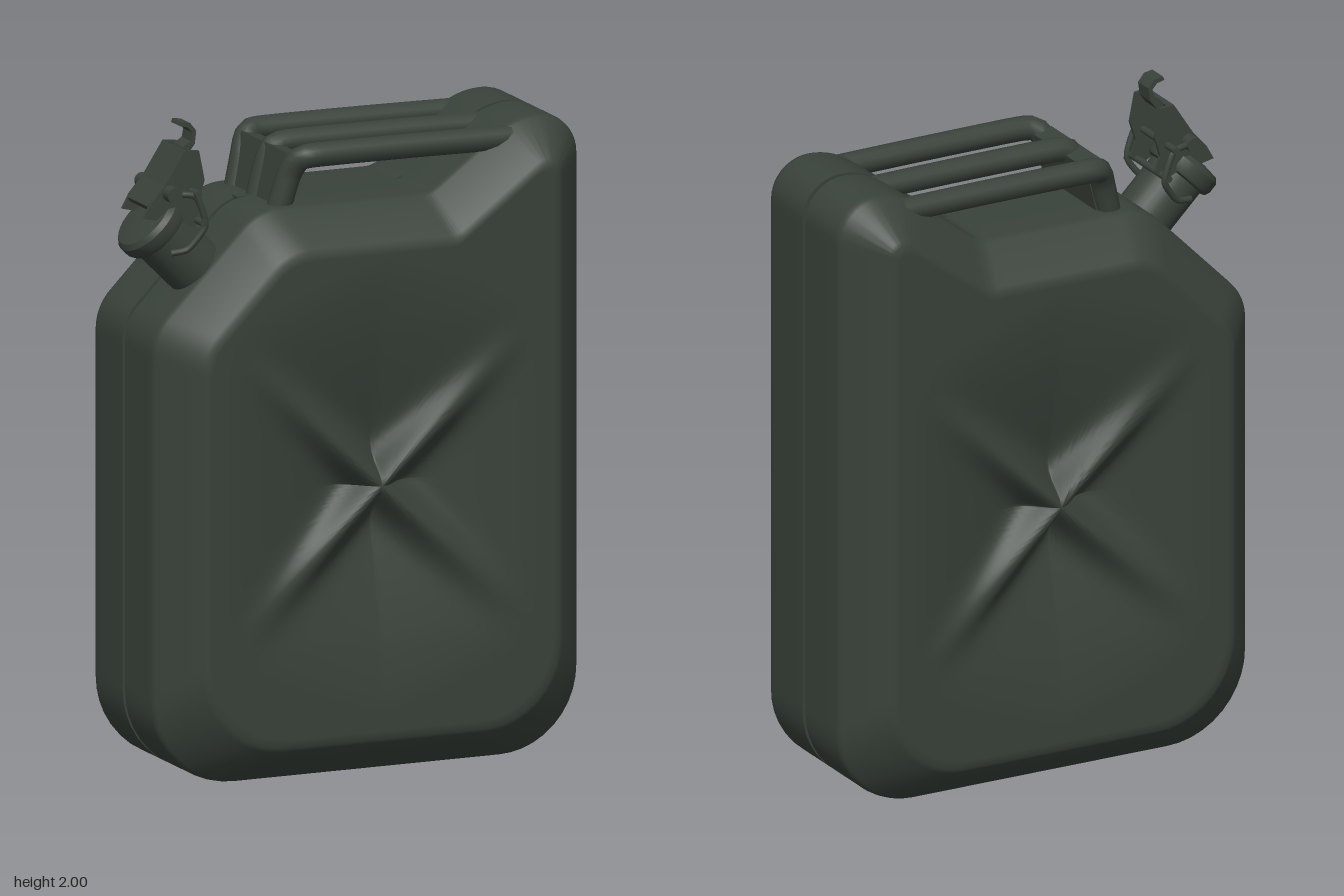
import * as THREE from 'three';
import { toCreasedNormals } from 'three/addons/utils/BufferGeometryUtils.js';

const paint = new THREE.MeshStandardMaterial({ color: 0x39423a });
paint.name = 'dark olive paint';

function add(parent, name, geometry, x = 0, y = 0, z = 0) {
  const mesh = new THREE.Mesh(geometry, paint);
  mesh.name = name;
  mesh.position.set(x, y, z);
  parent.add(mesh);
  return mesh;
}

// Body outline: corner x, y and rounding radius, anticlockwise
const corners = [
  [-0.66, 0, 0.26], [0.718, 0, 0.25], [0.718, 1.93, 0.125], [0.515, 1.93, 0.23],
  [0.24, 1.725, 0.08], [-0.32, 1.725, 0.17], [-0.66, 1.38, 0.16],
];
const base = corners.map(([x, y]) => new THREE.Vector2(x, y));
const n = base.length;
const at = (list, i) => list[(i + n) % n];

// Rounded outline shrunk by an inset, always with the same number of points
function outline(inset) {
  const normal = base.map((p, i) => {
    const d = at(base, i + 1).clone().sub(p).normalize();
    return new THREE.Vector2(-d.y, d.x);
  });
  const poly = base.map((p, i) => {
    const a = at(normal, i - 1), b = normal[i];
    return p.clone().addScaledVector(a.clone().add(b), inset / (1 + a.dot(b)));
  });
  const arcs = poly.map((p, i) => {
    const toPrev = at(poly, i - 1).clone().sub(p), toNext = at(poly, i + 1).clone().sub(p);
    const half = Math.acos(at(normal, i - 1).dot(normal[i])) / 2;
    const shortest = Math.min(toPrev.length(), toNext.length());
    const t = Math.min(corners[i][2] * Math.tan(half), (half > 0.7 ? 0.61 : 0.38) * shortest);
    const a = p.clone().addScaledVector(toPrev.normalize(), t);
    const b = p.clone().addScaledVector(toNext.normalize(), t);
    const arc = [];
    for (let k = 0; k <= 10; k++) {
      const s = k / 10, wa = (1 - s) ** 2, wc = 2 * s * (1 - s) * Math.cos(half), wb = s * s;
      arc.push(new THREE.Vector2().addScaledVector(a, wa).addScaledVector(p, wc)
        .addScaledVector(b, wb).divideScalar(wa + wb + wc));
    }
    return arc;
  });
  return arcs.flatMap((arc, i) => {
    const from = arc[10], to = at(arcs, i + 1)[0], pts = [...arc];
    const steps = Math.ceil(base[i].distanceTo(at(base, i + 1)) / 0.03);
    for (let k = 1; k < steps; k++) pts.push(from.clone().lerp(to, k / steps));
    return pts;
  });
}

// Four panels sinking towards the middle, parted by a cross of ridges level with the rim
const middle = new THREE.Vector2(0.03, 0.88);
function pressDepth(p) {
  const u = Math.abs(p.x - middle.x) / 0.5, v = Math.abs(p.y - middle.y) / 0.47;
  const s = Math.max(u, v);
  if (s === 0) return 0.012;
  const stretched = s / (1 + 0.45 * Math.max(0, (v - u) / v));
  const bowl = 0.13 * Math.max(0, 1 - stretched) ** 1.5;
  const fromRidge = 0.35 * Math.abs(u - v);
  return 0.012 * Math.max(0, 1 - s) + bowl * (1 - Math.exp(-((fromRidge / 0.055) ** 2)));
}

function bodyGeometry() {
  const half = [];
  const face = outline(0.117), steps = 32;
  for (let k = steps; k >= 1; k--) {
    half.push(face.map((p) => {
      const q = p.clone().lerp(middle, k / steps);
      return [q.x, q.y, 0.34 - pressDepth(q)];
    }));
  }
  // face edge, bevel, side wall and seam: z, inset
  for (const [z, inset] of [[0.34, 0.117], [0.33, 0.105], [0.215, 0.008], [0.205, 0.002],
    [0.19, 0], [0.009, 0], [0.009, 0.018]]) {
    half.push(outline(inset).map((p) => [p.x, p.y, z]));
  }
  const back = half.map((ring) => ring.map(([x, y, z]) => [x, y, -z]));
  const rings = [...back, ...half.reverse()];
  const count = face.length, index = [];
  for (let i = 0; i < rings.length - 1; i++) {
    for (let j = 0; j < count; j++) {
      const a = i * count + j, b = i * count + (j + 1) % count;
      index.push(a, b, b + count, a, b + count, a + count);
    }
  }
  const g = new THREE.BufferGeometry();
  g.setAttribute('position', new THREE.Float32BufferAttribute(rings.flat(2), 3));
  g.setIndex(index);
  return toCreasedNormals(g, 1.1);
}

function tube(points, radius, segments = 40) {
  const curve = new THREE.CatmullRomCurve3(points.map((p) => new THREE.Vector3(...p)), false, 'catmullrom', 0.3);
  return new THREE.TubeGeometry(curve, segments, radius, 12);
}

function plate(points, depth, hole) {
  const shape = new THREE.Shape(points.map((p) => new THREE.Vector2(...p)));
  if (hole) shape.holes.push(new THREE.Path().absarc(...hole, 0, Math.PI * 2, true));
  return new THREE.ExtrudeGeometry(shape, { depth, bevelEnabled: false }).translate(0, 0, -depth / 2);
}

export function createModel() {
  const model = new THREE.Group();
  model.name = 'fuelCan';
  add(model, 'body', bodyGeometry());
  // The seam is closed below the handle
  add(model, 'seamCover', plate([[-0.3, 1.65], [0.24, 1.65], [0.48, 1.83], [0.48, 1.903], [0.24, 1.725], [-0.3, 1.725]], 0.03));

  // Three carrying bars joined by a sloping web at the front post
  const handle = new THREE.Group();
  handle.name = 'handle';
  model.add(handle);
  for (const z of [-0.2, 0, 0.2]) {
    add(handle, 'handleBar', tube([[-0.235, 1.68, z * 0.74], [-0.2, 1.81, z * 0.82], [-0.178, 1.86, z * 0.92],
      [-0.13, 1.873, z], [0.2, 1.872, z], [0.5, 1.868, z]], 0.037));
  }
  add(handle, 'handleWeb', new THREE.BoxGeometry(0.062, 0.2, 0.32), -0.2, 1.775, 0).rotation.z = -0.24;

  // Slanted neck with closed cap
  const spout = new THREE.Group();
  spout.name = 'spout';
  spout.position.set(-0.495, 1.56, 0.115);
  spout.rotation.z = Math.PI / 4;
  model.add(spout);
  add(spout, 'neck', new THREE.CylinderGeometry(0.09, 0.09, 0.32, 32), 0, 0.04, 0);
  const profile = [[0.088, 0.15], [0.105, 0.155], [0.112, 0.17], [0.112, 0.2], [0.1, 0.215], [0.06, 0.222], [0, 0.225]];
  add(spout, 'cap', toCreasedNormals(new THREE.LatheGeometry(profile.map((p) => new THREE.Vector2(...p)), 32), 0.6));

  // Locking lever: side cheeks, cross pins, bail wire and thumb tab
  const latch = new THREE.Group();
  latch.name = 'latch';
  latch.position.z = 0.115;
  model.add(latch);
  const cheek = [[-0.685, 1.73], [-0.66, 1.775], [-0.615, 1.825], [-0.55, 1.925], [-0.505, 1.92], [-0.487, 1.83],
    [-0.505, 1.77], [-0.49, 1.72], [-0.52, 1.69], [-0.56, 1.71], [-0.6, 1.75], [-0.64, 1.72]];
  for (const side of [-1, 1]) {
    add(latch, 'leverCheek', plate(cheek, 0.012, [-0.6, 1.8, 0.018]), 0, 0, side * 0.075);
    add(latch, 'bailWire', tube([[-0.6, 1.8, side * 0.1], [-0.53, 1.79, side * 0.115], [-0.5, 1.7, side * 0.115],
      [-0.55, 1.63, side * 0.1], [-0.6, 1.62, side * 0.09]], 0.01, 20));
  }
  for (const [x, y, length, radius] of [[-0.6, 1.8, 0.24, 0.024], [-0.53, 1.8, 0.27, 0.011], [-0.51, 1.71, 0.25, 0.011]]) {
    add(latch, 'crossPin', new THREE.CylinderGeometry(radius, radius, length, 16), x, y, 0).rotation.x = Math.PI / 2;
  }
  add(latch, 'leverBridge', plate([[-0.67, 1.765], [-0.615, 1.825], [-0.55, 1.925], [-0.54, 1.915], [-0.605, 1.815],
    [-0.66, 1.75]], 0.14));
  add(latch, 'thumbTab', plate([[-0.555, 1.88], [-0.535, 1.925], [-0.51, 1.94], [-0.505, 1.965], [-0.52, 1.982],
    [-0.545, 1.988], [-0.54, 2], [-0.512, 1.995], [-0.492, 1.97], [-0.497, 1.93], [-0.52, 1.9]], 0.065));
  return model;
}
